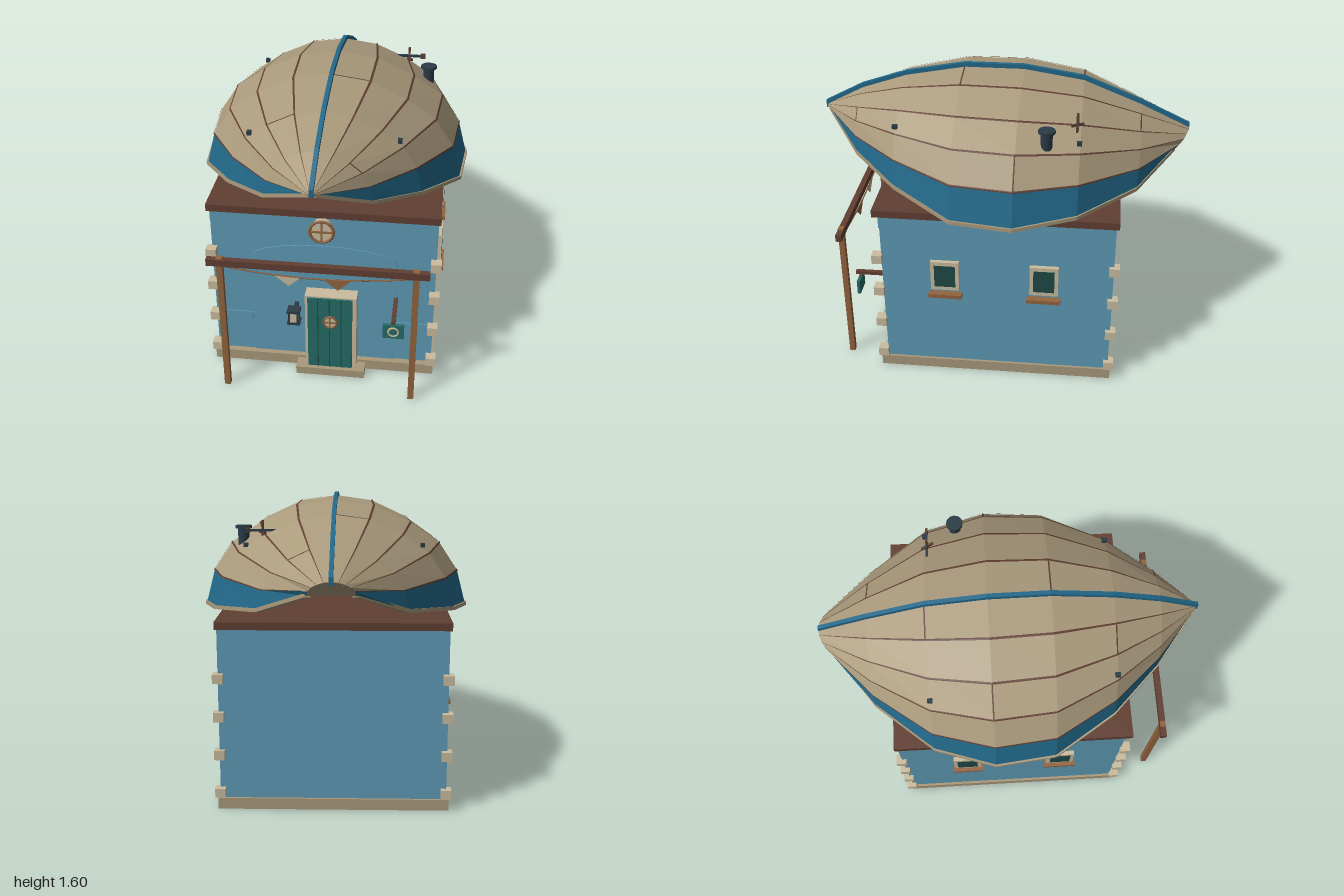
import * as THREE from 'three';

const mat = (name, color) => Object.assign(new THREE.MeshStandardMaterial({ color }), { name });

export function createModel() {
  const root = new THREE.Group();
  root.name = 'boatRoofHouse';
  const wallBlue = mat('wallBlue', 0x5f9cb6), hullBlue = mat('hullBlue', 0x22698a);
  const sand = mat('sand', 0xaa9a7c), cream = mat('cream', 0xcbbd9f);
  const brown = mat('darkBrown', 0x613f33), wood = mat('wood', 0x94643f);
  const green = mat('doorGreen', 0x246c66), glass = mat('darkGlass', 0x204a45), slate = mat('slate', 0x2b3b46);

  const add = (name, geo, m, x = 0, y = 0, z = 0, parent = root) => {
    const mesh = new THREE.Mesh(geo, m);
    mesh.name = name;
    mesh.position.set(x, y, z);
    parent.add(mesh);
    return mesh;
  };
  // Box given by its extents
  const box = (name, m, x0, x1, y0, y1, z0, z1, parent) =>
    add(name, new THREE.BoxGeometry(x1 - x0, y1 - y0, z1 - z0), m, (x0 + x1) / 2, (y0 + y1) / 2, (z0 + z1) / 2, parent);
  const plate = (name, pts, m, z, depth) =>
    add(name, new THREE.ExtrudeGeometry(new THREE.Shape(pts.map(p => new THREE.Vector2(...p))),
      { depth, bevelEnabled: false }), m, 0, 0, z);

  // House body
  box('plinth', sand, -0.607, 0.607, 0, 0.06, -0.638, 0.64);
  box('walls', wallBlue, -0.594, 0.594, 0.06, 0.97, -0.625, 0.605);
  box('roofSlab', brown, -0.605, 0.605, 0.97, 1.01, -0.64, 0.64);
  box('upperPanel', wallBlue, -0.594, 0.594, 0.9, 0.97, 0.605, 0.61);
  const arch = [[-0.385, 0.06], [0.39, 0.06], [0.39, 0.69]];
  for (let i = 1; i <= 10; i++) {
    const a = Math.PI * i / 10;
    arch.push([0.0025 + 0.3875 * Math.cos(a), 0.69 + 0.09 * Math.sin(a)]);
  }
  plate('archPanel', arch, wallBlue, 0.605, 0.006);
  for (const s of [-1, 1]) {
    box('sidePanel', wallBlue, s * 0.492 - 0.102, s * 0.492 + 0.102, 0.255, 0.315, 0.605, 0.61);
    // Corner stones
    for (const z of [-0.627, 0.627]) for (const y of [0.093, 0.302, 0.509, 0.714])
      add('cornerStone', new THREE.BoxGeometry(0.055, 0.05, 0.055), cream, s * 0.592, y, z);
    // Side windows
    for (const z of [0.265, -0.262]) {
      const g = new THREE.Group();
      g.name = 'sideWindow';
      g.position.set(s * 0.602, 0.632, z);
      root.add(g);
      for (const k of [-1, 1]) {
        add('frameSide', new THREE.BoxGeometry(0.03, 0.175, 0.02), cream, 0, 0, k * 0.066, g);
        add('frameRail', new THREE.BoxGeometry(0.03, 0.022, 0.112), cream, 0, k * 0.0765, 0, g);
      }
      add('pane', new THREE.BoxGeometry(0.03, 0.131, 0.112), glass, s * 0.002, 0, 0, g);
      add('sill', new THREE.BoxGeometry(0.045, 0.022, 0.18), wood, s * 0.008, -0.122, 0, g);
    }
  }

  // Door and step
  box('step', sand, -0.14, 0.235, 0, 0.045, 0.6, 0.72);
  box('doorFrame', cream, -0.09, 0.187, 0.045, 0.51, 0.605, 0.688);
  box('door', green, -0.075, 0.165, 0.045, 0.502, 0.65, 0.697);
  for (const x of [-0.02, 0.043, 0.106]) box('doorGroove', glass, x - 0.003, x + 0.003, 0.045, 0.502, 0.69, 0.699);

  // Round windows with crossbars
  const porthole = (name, x, y, z0, z1, r, t) => {
    const g = new THREE.Group();
    g.name = name;
    g.position.set(x, y, z1);
    root.add(g);
    add('roundPane', new THREE.CylinderGeometry(r - t, r - t, z1 - z0, 20).rotateX(Math.PI / 2), cream, 0, 0, (z0 - z1) / 2, g);
    add('roundFrame', new THREE.TorusGeometry(r - t / 2, t / 2, 6, 20), wood, 0, 0, 0, g);
    add('crossbar', new THREE.BoxGeometry(2 * r - t, t * 0.6, 0.012), wood, 0, 0, 0, g);
    add('crossbar', new THREE.BoxGeometry(t * 0.6, 2 * r - t, 0.012), wood, 0, 0, 0, g);
  };
  porthole('gablePorthole', 0, 0.9, 0.605, 0.66, 0.07, 0.016);
  porthole('doorPorthole', 0.047, 0.355, 0.69, 0.702, 0.042, 0.012);

  // Porch frame and bunting
  box('porchBeam', brown, -0.565, 0.565, 0.78, 0.818, 0.823, 0.855);
  for (const s of [-1, 1]) box('porchPost', wood, s * 0.497 - 0.016, s * 0.497 + 0.016, 0, 0.826, 0.824, 0.854);
  const rope = new THREE.QuadraticBezierCurve3(new THREE.Vector3(-0.49, 0.775, 0.838),
    new THREE.Vector3(0, 0.69, 0.838), new THREE.Vector3(0.49, 0.775, 0.838));
  add('buntingRope', new THREE.TubeGeometry(rope, 12, 0.004, 5), wood);
  plate('pennant', [[-0.22, 0.742], [-0.145, 0.68], [-0.088, 0.732]], cream, 0.835, 0.006);
  plate('pennant', [[0.035, 0.732], [0.105, 0.672], [0.175, 0.738]], wood, 0.835, 0.006);

  // Lantern
  box('lanternBracket', slate, -0.155, -0.135, 0.39, 0.41, 0.605, 0.71);
  box('lanternGlass', cream, -0.167, -0.119, 0.37, 0.43, 0.7, 0.744);
  for (const y of [0.357, 0.43]) box('lanternCap', slate, -0.178, -0.109, y, y + 0.013, 0.692, 0.75);
  for (const x of [-0.167, -0.121]) for (const z of [0.701, 0.743])
    box('lanternBar', slate, x - 0.005, x + 0.005, 0.36, 0.44, z - 0.005, z + 0.005);

  // Hanging sign
  box('signArm', brown, 0.379, 0.401, 0.46, 0.48, 0.605, 0.81);
  box('signHanger', brown, 0.386, 0.394, 0.43, 0.465, 0.785, 0.793);
  box('signBoard', green, 0.335, 0.446, 0.357, 0.44, 0.78, 0.797);
  add('signRing', new THREE.TorusGeometry(0.026, 0.006, 5, 16), cream, 0.39, 0.398, 0.797);

  // Upturned hull: stations [keel z, gunwale z, half width, keel y, gunwale y]
  const stations = [
    [1, 0.985, 0.012, 1.325, 1.305], [0.79, 0.78, 0.27, 1.435, 1.165], [0.54, 0.54, 0.5, 1.52, 1.095],
    [0.22, 0.22, 0.69, 1.58, 1.015], [-0.1, -0.1, 0.722, 1.58, 1.005], [-0.42, -0.42, 0.625, 1.53, 1.04],
    [-0.73, -0.72, 0.38, 1.405, 1.085], [-0.995, -0.92, 0.12, 1.28, 1.2]];
  const section = [[0, 1], [0.29, 0.95], [0.57, 0.79], [0.79, 0.6], [0.93, 0.335], [1, 0]];
  const mix = (list, t) => {
    const i = Math.min(Math.floor(t), list.length - 2);
    return list[i].map((v, k) => v + (list[i + 1][k] - v) * (t - i));
  };
  // Hull point at station s and strake line u (-5 to 5), lifted off the skin
  const P = (s, u, lift = 0) => {
    const [zk, zg, w, k, g] = mix(stations, s), [sx, sy] = mix(section, Math.abs(u));
    const x = Math.max(w * sx + lift * sx, 0) * Math.sign(u);
    return [x, g + (k - g) * sy + lift * sy, zg + (zk - zg) * sy];
  };
  const skin = (name, grid, m, flip = false, caps = false) => {
    const v = [];
    const quad = (a, b, c, d) => (flip ? [a, d, c, a, c, b] : [a, b, c, a, c, d]).forEach(p => v.push(...p));
    for (let i = 0; i < grid.length - 1; i++) for (let j = 0; j < grid[i].length - 1; j++)
      quad(grid[i][j], grid[i][j + 1], grid[i + 1][j + 1], grid[i + 1][j]);
    if (caps) {
      const a = grid[0], b = grid[grid.length - 1];
      quad(a[3], a[2], a[1], a[0]);
      quad(b[0], b[1], b[2], b[3]);
    }
    const geo = new THREE.BufferGeometry();
    geo.setAttribute('position', new THREE.Float32BufferAttribute(v, 3));
    geo.computeVertexNormals();
    return add(name, geo, m);
  };
  const all = stations.map((_, i) => i);
  const range = (a, b) => Array.from({ length: b - a + 1 }, (_, i) => a + i);
  const strip = (us, lift = 0) => all.map(s => us.map(u => P(s, u, lift)));
  skin('hullPlanking', strip(range(-4, 4)), sand);
  skin('hullBand', strip([-5, -4]), hullBlue);
  skin('hullBand', strip([4, 5]), hullBlue);
  skin('hullInside', strip(range(-5, 5), -0.012), brown, true);

  // Transom, seen from both faces
  const end = range(-5, 5).map(u => P(7, u));
  const bottom = end.map(p => [p[0], end[0][1], end[0][2]]);
  skin('transom', [end, bottom], sand);
  skin('transom', [end, bottom], sand, true);

  // Keel and gunwale rails as swept bars
  const bar = (name, m, f) => skin(name, all.map(i => {
    const [x0, x1, y0, y1, z] = f(stations[i]);
    return [[x0, y1, z], [x1, y1, z], [x1, y0, z], [x0, y0, z], [x0, y1, z]];
  }), m, false, true);
  bar('keel', hullBlue, ([zk, , , k]) => [-0.011, 0.011, k - 0.02, k + 0.022, zk]);
  for (const s of [-1, 1]) bar('gunwaleRail', sand, ([, zg, w, , g]) => {
    const a = s * (w - 0.022), b = s * (w + 0.007);
    return [Math.min(a, b), Math.max(a, b), g - 0.006, g + 0.014, zg];
  });

  // Seams between planks, and butt joints [station, strake]
  for (const s of [-1, 1]) for (let j = 1; j <= 4; j++)
    skin('plankSeam', strip([s * j - 0.03, s * j, s * j + 0.03], 0.004), brown);
  for (const [s, u] of [[5, -1], [3, 0], [2, -2], [6, 1], [4, -3], [4, 3], [1, 2]])
    skin('plankJoint', [s - 0.012, s, s + 0.012].map(t => [P(t, u, 0.004), P(t, u + 1, 0.004)]), brown);

  // Hull cleats
  for (const s of [-1, 1]) for (const [x, y, z] of [[0.378, 1.385, 0.538], [0.458, 1.375, -0.415]])
    add('cleat', new THREE.BoxGeometry(0.022, 0.02, 0.026), slate, s * x, y, z);

  // Chimney
  add('chimneyPipe', new THREE.CylinderGeometry(0.03, 0.03, 0.13, 12), slate, 0.488, 1.385, -0.252);
  add('chimneyCap', new THREE.CylinderGeometry(0.044, 0.044, 0.014, 12), slate, 0.488, 1.45, -0.252);

  // Weather vane
  box('vanePost', brown, 0.365, 0.377, 1.39, 1.5, -0.406, -0.394);
  box('vaneArrow', slate, 0.28, 0.46, 1.443, 1.455, -0.408, -0.396);
  add('vaneCross', new THREE.BoxGeometry(0.012, 0.012, 0.07), brown, 0.371, 1.437, -0.4).rotation.y = 0.5;
  box('vaneTail', brown, 0.435, 0.462, 1.436, 1.464, -0.406, -0.394);
  return root;
}
